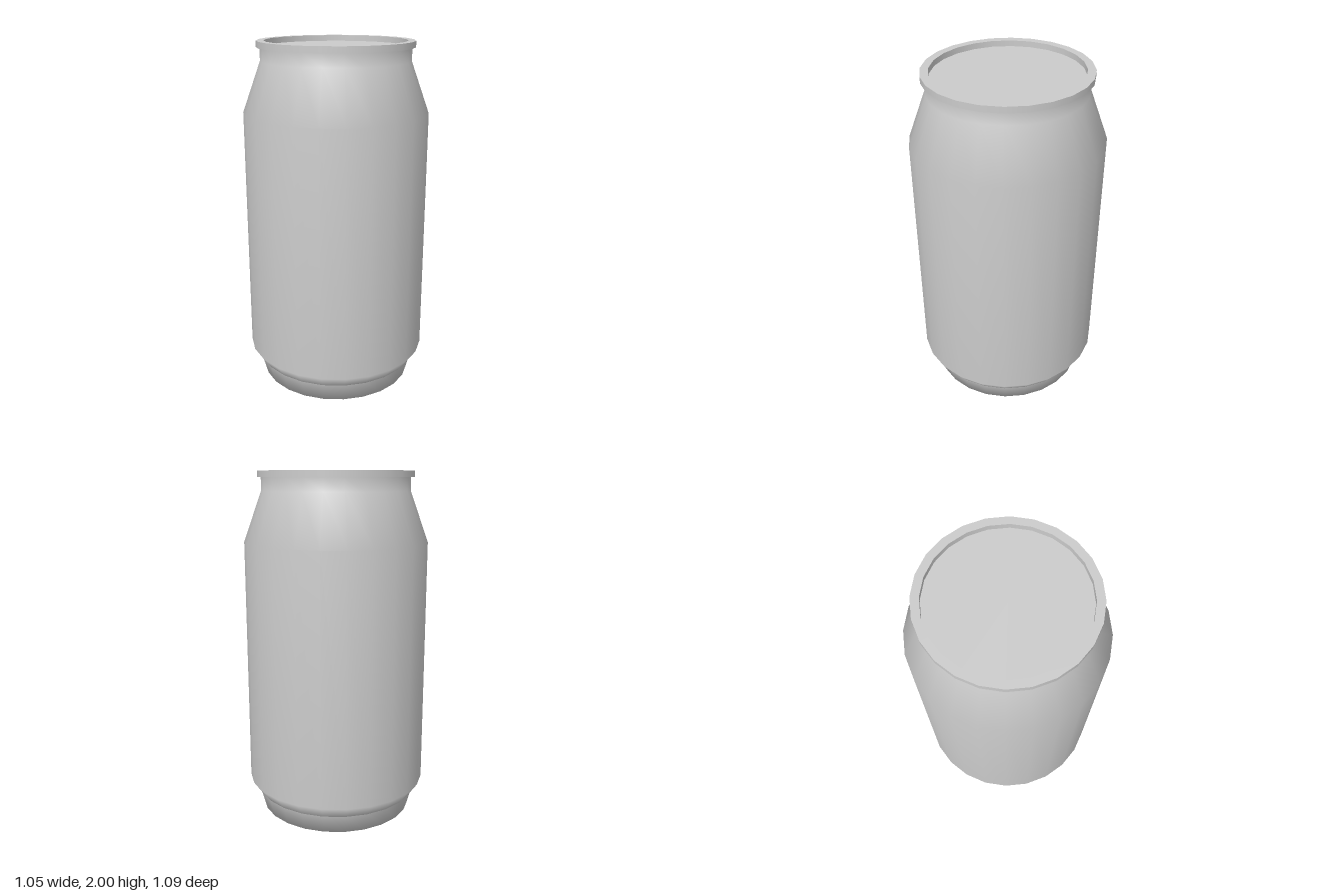
import * as THREE from 'three';

const SIDES = 24;
const DEPTH_SCALE = 1.03; // the can is slightly deeper than wide

export function createModel() {
  const can = new THREE.Group();
  can.name = 'drinkCan';
  const material = new THREE.MeshStandardMaterial({ color: 0xcccccc });

  // Revolve a [radius, height] profile; normals are smooth along each profile.
  function turn(name, parent, profile) {
    const points = profile.map(([r, y]) => new THREE.Vector2(r, y));
    const geometry = new THREE.LatheGeometry(points, SIDES);
    geometry.scale(1, 1, DEPTH_SCALE);
    const mesh = new THREE.Mesh(geometry, material);
    mesh.name = name;
    parent.add(mesh);
  }

  // Recessed underside and foot
  const base = new THREE.Group();
  base.name = 'base';
  can.add(base);
  turn('baseFloor', base, [[0, 0.105], [0.373, 0.105]]);
  turn('baseRecessWall', base, [[0.373, 0.105], [0.373, 0]]);
  turn('foot', base, [[0.373, 0], [0.448, 0], [0.478, 0.11]]);

  // Side wall with lower bevel, tapered shoulder and neck
  turn('body', can, [[0.478, 0.11], [0.527, 0.18], [0.527, 1.605], [0.424, 1.89], [0.424, 1.965]]);

  // Square-edged rim, one hard-edged band per face
  const rim = new THREE.Group();
  rim.name = 'rim';
  can.add(rim);
  const rimProfile = [[0.424, 1.965], [0.444, 1.965], [0.444, 2], [0.401, 2], [0.401, 1.967]];
  const bands = ['rimUnderside', 'rimOuterWall', 'rimTop', 'rimInnerWall'];
  bands.forEach((name, i) => turn(name, rim, rimProfile.slice(i, i + 2)));

  // Flat sunken lid
  turn('lid', can, [[0.401, 1.967], [0, 1.967]]);

  return can;
}
